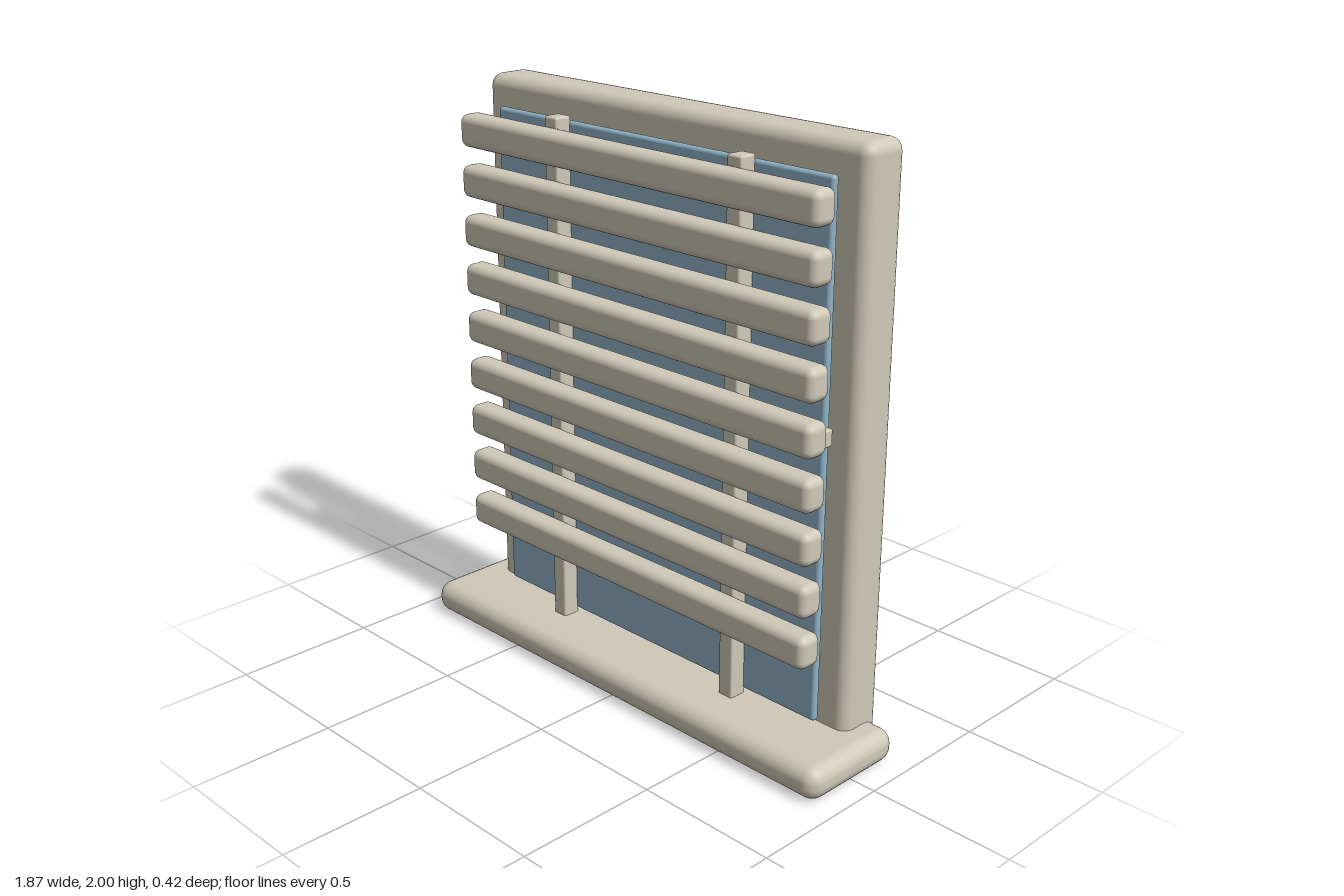
import * as THREE from 'three';
import { RoundedBoxGeometry } from 'three/addons/geometries/RoundedBoxGeometry.js';

export function createModel() {
  const model = new THREE.Group();
  model.name = 'shutteredWindow';

  const plaster = new THREE.MeshStandardMaterial({ color: 0xd0c9b8 });
  plaster.name = 'warm beige';
  const glass = new THREE.MeshStandardMaterial({ color: 0x90b4c9 });
  glass.name = 'glass blue';

  // Rounded block spanning the given [min, max] ranges
  function block(name, [x0, x1], [y0, y1], [z0, z1], radius, material = plaster) {
    const geometry = new RoundedBoxGeometry(x1 - x0, y1 - y0, z1 - z0, 3, radius);
    const mesh = new THREE.Mesh(geometry, material);
    mesh.position.set((x0 + x1) / 2, (y0 + y1) / 2, (z0 + z1) / 2);
    mesh.name = name;
    model.add(mesh);
  }

  // Back slab, pane and projecting sill
  block('frame', [-0.84, 0.84], [0.03, 2], [-0.212, -0.043], 0.042);
  block('pane', [-0.74, 0.74], [0.13, 1.9], [-0.034, -0.006], 0.012, glass);
  block('sill', [-0.933, 0.933], [0, 0.116], [-0.19, 0.212], 0.052);

  // Uprights and the cross rail hidden behind the slats
  for (const side of [-1, 1]) {
    const x = side * 0.408;
    block('upright', [x - 0.03, x + 0.03], [0.08, 1.918], [-0.012, 0.052], 0.008);
  }
  block('crossRail', [-0.772, 0.772], [1.085, 1.143], [-0.01, 0.044], 0.008);

  // Horizontal shutter slats
  for (let i = 0; i < 9; i++) {
    const y = 0.434 + i * 0.1744;
    block('slat', [-0.796, 0.796], [y - 0.056, y + 0.056], [0.036, 0.126], 0.028);
  }

  return model;
}
